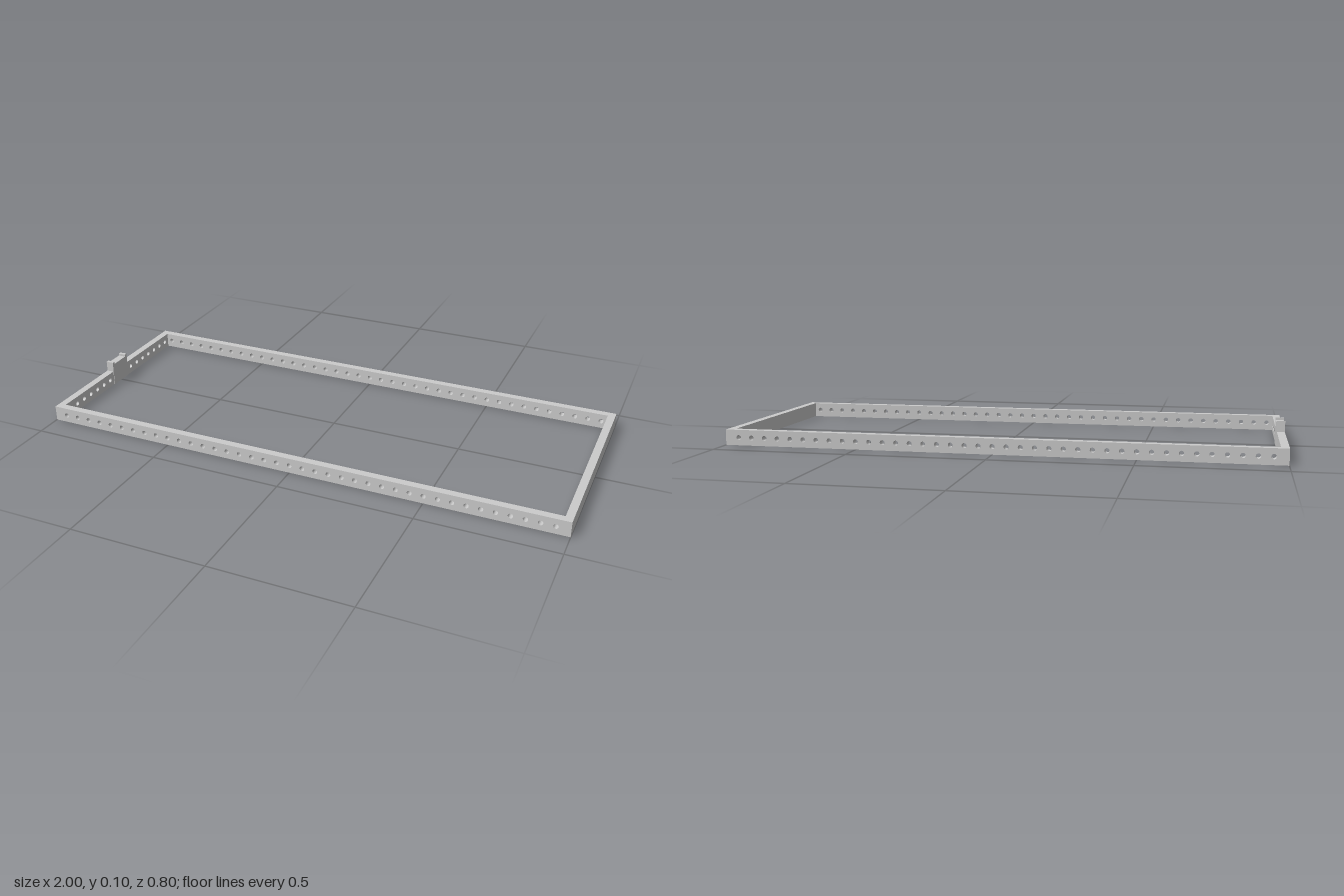
import * as THREE from 'three';

const H = 0.057, T = 0.028, L = 2, W = 0.8, CLIP = 0.1;
const mat = new THREE.MeshStandardMaterial({ color: 0xcccccc, flatShading: true });

// Upright bar along x, drilled through its thickness at the given positions
function drilledBar(name, length, holes) {
  const s = new THREE.Shape();
  s.moveTo(-length / 2, 0);
  s.lineTo(length / 2, 0);
  s.lineTo(length / 2, H);
  s.lineTo(-length / 2, H);
  s.closePath();
  for (const x of holes) {
    s.holes.push(new THREE.Path().absarc(x, H / 2, 0.009, 0, Math.PI * 2, true));
  }
  const g = new THREE.ExtrudeGeometry(s, { depth: T, bevelEnabled: false, curveSegments: 8 });
  g.translate(0, 0, -T / 2);
  const mesh = new THREE.Mesh(g, mat);
  mesh.name = name;
  return mesh;
}

function box(name, x0, x1, y0, y1, z0, z1) {
  const mesh = new THREE.Mesh(new THREE.BoxGeometry(x1 - x0, y1 - y0, z1 - z0), mat);
  mesh.position.set((x0 + x1) / 2, (y0 + y1) / 2, (z0 + z1) / 2);
  mesh.name = name;
  return mesh;
}

const row = (count, step) => Array.from({ length: count }, (_, i) => (i - (count - 1) / 2) * step);

export function createModel() {
  const model = new THREE.Group();
  model.name = 'drilledFrame';

  // Long rails with an even row of holes
  for (const side of [1, -1]) {
    const rail = drilledBar(side > 0 ? 'frontRail' : 'backRail', L, row(39, 0.05));
    rail.position.z = side * (W - T) / 2;
    model.add(rail);
  }

  // Plain end rail
  model.add(box('plainEndRail', 1 - T, 1, 0, H, -W / 2 + T, W / 2 - T));

  // Drilled end rail, in two halves either side of the clip
  const half = W / 2 - T - CLIP / 2;
  for (const side of [1, -1]) {
    const rail = drilledBar('drilledEndRail', half, row(7, 0.045));
    rail.rotation.y = Math.PI / 2;
    rail.position.set(-1 + T / 2, 0, side * (CLIP / 2 + half / 2));
    model.add(rail);
  }

  // Clip: inner plate, cap and two raised cheeks, with a groove open outwards
  const clip = new THREE.Group();
  clip.name = 'clip';
  const c = CLIP / 2, e = 0.038, x1 = -1 + 0.03;
  clip.add(box('clipPlate', x1 - 0.015, x1, 0, H, -e, e));
  clip.add(box('clipCap', -1, x1, H, 0.088, -e, e));
  clip.add(box('clipCheekFront', -1, x1, 0, 0.097, e, c));
  clip.add(box('clipCheekBack', -1, x1, 0, 0.097, -c, -e));
  model.add(clip);

  return model;
}
